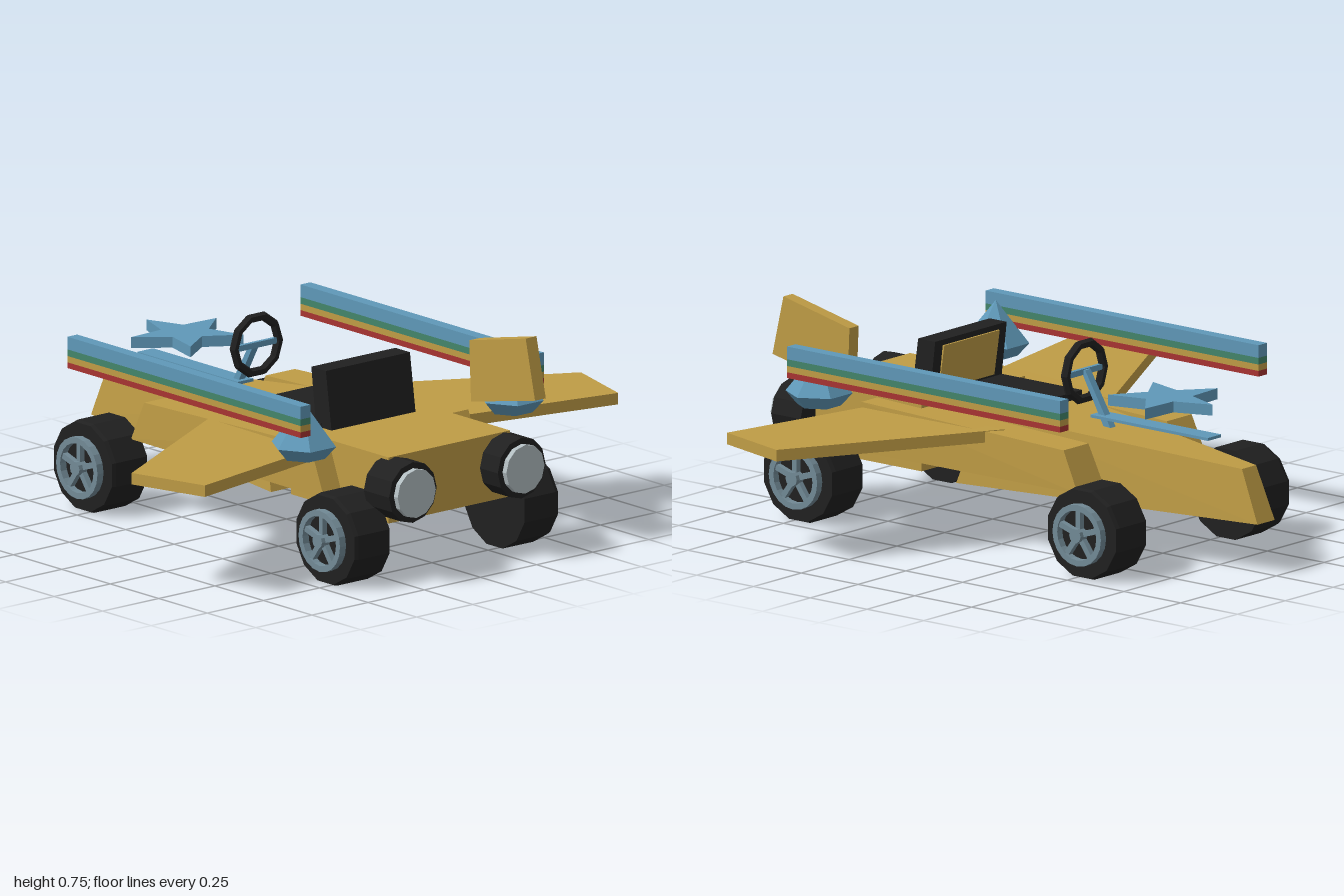
import * as THREE from 'three';
import { ConvexGeometry } from 'three/addons/geometries/ConvexGeometry.js';

const mat = (name, color) => {
  const m = new THREE.MeshStandardMaterial({ color, flatShading: true });
  m.name = name;
  return m;
};

export function createModel() {
  const gold = mat('gold', 0xbf9c45), blue = mat('sky blue', 0x5f98b8), black = mat('black', 0x202020);
  const silver = mat('silver', 0xb2bdc1), steel = mat('steel', 0x728a96);
  const green = mat('green', 0x43856a), red = mat('red', 0xa83432);
  const root = new THREE.Group();

  const add = (name, geo, material, x = 0, y = 0, z = 0, parent = root) => {
    const mesh = new THREE.Mesh(geo, material);
    mesh.name = name;
    mesh.position.set(x, y, z);
    parent.add(mesh);
    return mesh;
  };
  const box = (name, material, x0, x1, y0, y1, z0, z1) =>
    add(name, new THREE.BoxGeometry(x1 - x0, y1 - y0, z1 - z0), material,
      (x0 + x1) / 2, (y0 + y1) / 2, (z0 + z1) / 2);
  // Convex solid from rows of [z, y, x0, x1]
  const hull = (name, rows, material) => add(name, new ConvexGeometry(
    rows.flatMap(([z, y, x0, x1]) => [new THREE.Vector3(x0, y, z), new THREE.Vector3(x1, y, z)])), material);
  // Side profile of [z, y] points with constant width
  const slab = (name, profile, x0, x1, material) =>
    hull(name, profile.map(([z, y]) => [z, y, x0, x1]), material);
  // Horizontal plate from an outline of [x, z] points
  const plate = (name, outline, depth, y, material) => {
    const shape = new THREE.Shape(outline.map(([x, z]) => new THREE.Vector2(x, -z)));
    const geo = new THREE.ExtrudeGeometry(shape, { depth, bevelEnabled: false });
    return add(name, geo.rotateX(-Math.PI / 2), material, 0, y, 0);
  };

  // Hull: tapered nose, middle floor and tail block
  hull('nose', [
    [-0.955, 0.184, -0.045, 0.045], [-0.88, 0.364, -0.037, 0.037],
    [0.204, 0.184, -0.245, 0.245], [0.12, 0.436, -0.208, 0.208],
  ], gold);
  box('floor', gold, -0.26, 0.26, 0.26, 0.405, 0, 0.58);
  box('tailBlock', gold, -0.27, 0.27, 0.208, 0.438, 0.335, 0.84);

  // Seat
  box('seatCushion', black, -0.19, 0.19, 0.4, 0.455, 0.015, 0.4);
  slab('seatBack', [[0.37, 0.43], [0.45, 0.43], [0.42, 0.64], [0.345, 0.64]], -0.187, 0.187, black);
  slab('seatPanel', [[0.364, 0.462], [0.372, 0.462], [0.348, 0.62], [0.34, 0.62]], -0.145, 0.145, gold);

  // Steering wheel with crossbar and slanted column
  const steering = new THREE.Group();
  steering.name = 'steeringWheel';
  steering.position.set(0, 0.583, -0.155);
  root.add(steering);
  add('rim', new THREE.TorusGeometry(0.099, 0.016, 6, 10), black, 0, 0, 0, steering);
  add('crossbar', new THREE.BoxGeometry(0.18, 0.02, 0.014), blue, 0, 0, 0, steering);
  slab('steeringColumn', [[-0.15, 0.59], [-0.17, 0.59], [-0.285, 0.40], [-0.255, 0.40]], -0.014, 0.014, blue);

  // Star ornament above a thin strip on the nose
  const star = [];
  for (let i = 0; i < 10; i++) {
    const r = i % 2 ? 0.085 : 0.2, a = i * Math.PI / 5;
    star.push([Math.sin(a) * r, -0.52 - Math.cos(a) * r]);
  }
  plate('star', star, 0.038, 0.517, blue);
  box('noseStrip', blue, -0.035, 0.035, 0.437, 0.447, -0.728, -0.21);

  // Single tail fin on the left
  slab('tailFin', [[0.857, 0.752], [0.566, 0.687], [0.575, 0.475], [0.905, 0.545]], 0.325, 0.373, gold);

  // Wheel pieces, built with the outer side facing +x
  const tyreProfile = [[0, 0.3], [0.16, 0.3], [0.16, 0.438], [0.155, 0.453], [0, 0.453]]
    .map(([r, h]) => new THREE.Vector2(r, h));
  const ringShape = new THREE.Shape().absarc(0, 0, 0.107, 0, Math.PI * 2);
  ringShape.holes.push(new THREE.Path().absarc(0, 0, 0.086, 0, Math.PI * 2, true));
  const wheel = (s, z) => {
    const g = new THREE.Group();
    g.name = 'wheel';
    g.position.set(0, 0.16, z);
    g.rotation.y = s > 0 ? 0 : Math.PI;
    root.add(g);
    add('tyre', new THREE.LatheGeometry(tyreProfile, 12).rotateY(Math.PI / 12).rotateZ(-Math.PI / 2), black, 0, 0, 0, g);
    add('rim', new THREE.ExtrudeGeometry(ringShape, { depth: 0.035, bevelEnabled: false, curveSegments: 10 })
      .rotateY(Math.PI / 2), steel, 0.445, 0, 0, g);
    for (let i = 0; i < 5; i++) {
      const spoke = add('wheelSpoke', new THREE.BoxGeometry(0.025, 0.095, 0.02).translate(0, 0.047, 0), steel, 0.461, 0, 0, g);
      spoke.rotation.x = i * Math.PI * 2 / 5;
    }
    add('hub', new THREE.CylinderGeometry(0.025, 0.025, 0.045, 10).rotateZ(Math.PI / 2), steel, 0.467, 0, 0, g);
  };

  // Mirrored parts
  for (const s of [1, -1]) {
    wheel(s, 0.725);
    wheel(s, -0.525);

    // Side pod and swept wing
    hull('sidePod', [
      [-0.41, 0.26, s * 0.2, s * 0.338], [-0.345, 0.4, s * 0.205, s * 0.335],
      [0.53, 0.434, s * 0.2, s * 0.352], [0.6, 0.26, s * 0.2, s * 0.35],
    ], gold);
    plate('wing', [[0.28, -0.04], [1, 0.36], [0.92, 0.645], [0.28, 0.512]].map(([x, z]) => [s * x, z]),
      0.04, 0.375, gold);

    // Rear thruster with a pale end disc
    add('thruster', new THREE.CylinderGeometry(0.106, 0.106, 0.13, 12).rotateX(Math.PI / 2), black, s * 0.242, 0.33, 0.867);
    add('thrusterDisc', new THREE.CylinderGeometry(0.085, 0.085, 0.04, 12).rotateX(Math.PI / 2), silver, s * 0.242, 0.33, 0.932);

    // Six-sided crystal
    const crystal = [[0, 0.43], [0.075, 0.43], [0.115, 0.475], [0, 0.62]].map(([r, y]) => new THREE.Vector2(r, y));
    add('crystal', new THREE.LatheGeometry(crystal, 6).rotateY(Math.PI / 6), blue, s * 0.462, 0, 0.625);

    // Layered striped rail
    [[red, 0.525, 0.545], [gold, 0.545, 0.567], [green, 0.567, 0.59], [blue, 0.59, 0.634]]
      .forEach(([m, y0, y1]) => box('railStripe', m, s * 0.519 - 0.022, s * 0.519 + 0.022, y0, y1, -0.503, 0.7));
  }
  return root;
}
